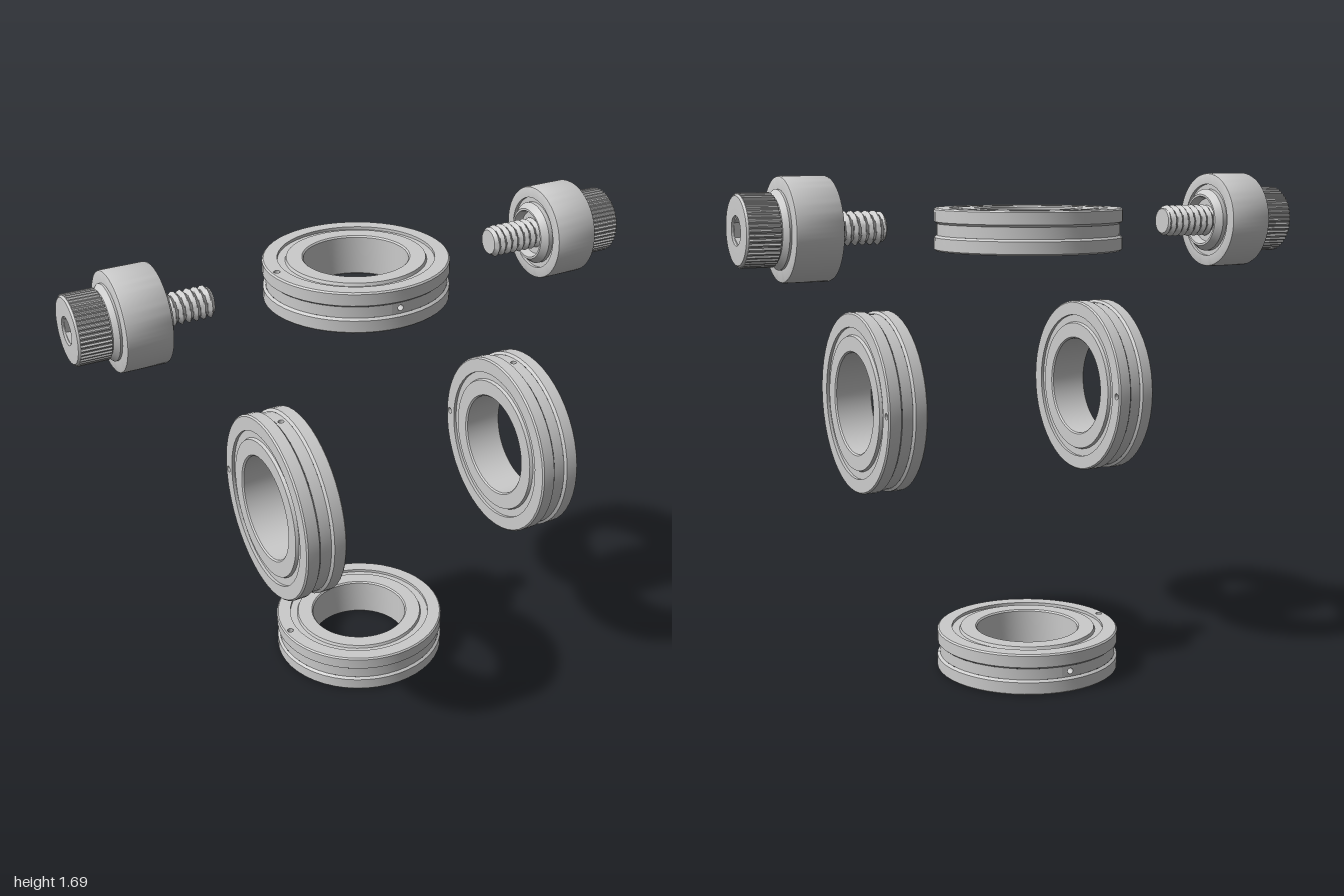
import * as THREE from 'three';
import { toCreasedNormals } from 'three/addons/utils/BufferGeometryUtils.js';

const grey = new THREE.MeshStandardMaterial({ color: 0xcccccc });
const inside = new THREE.MeshStandardMaterial({ color: 0xcccccc, side: THREE.BackSide });

function add(group, name, geometry, material = grey) {
  const mesh = new THREE.Mesh(geometry, material);
  mesh.name = name;
  group.add(mesh);
  return mesh;
}

// Revolved profile of [radius, y] points around the y axis, hard edges kept sharp
function lathe(points, segments = 48, start = 0, length = Math.PI * 2) {
  const profile = points.map(([r, y]) => new THREE.Vector2(r, y));
  return toCreasedNormals(new THREE.LatheGeometry(profile, segments, start, length), 0.45);
}

// Half profile followed by its reflection in y = 0
const mirrored = (half) => [...half, ...half.map(([r, y]) => [r, -y]).reverse()];

function circlePath(x, y, r) {
  return new THREE.Path().absarc(x, y, r, 0, Math.PI * 2, true);
}

// Ring bearing, axis along y, oil hole towards +z, axial pin hole at -x
function bearing(name) {
  const g = new THREE.Group();
  g.name = name;
  const H = 0.07, floorR = 0.304, floorH = 0.019, hole = 0.01, gap = 0.1;

  // Outer rim, either side of the oil groove
  const rim = [[0.308, -H], [0.313, -0.065], [0.313, -0.026], [floorR, -floorH]];
  add(g, 'lowerRim', lathe(rim));
  add(g, 'upperRim', lathe(rim.map(([r, y]) => [r, -y]).reverse()));

  // Groove floor with a pierced patch bent round the cylinder
  add(g, 'grooveFloor', lathe([[floorR, -floorH], [floorR, floorH]], 48, gap, Math.PI * 2 - 2 * gap));
  const patch = new THREE.Shape();
  const w = gap * floorR;
  patch.moveTo(-w, -floorH).lineTo(0, -floorH).lineTo(w, -floorH);
  patch.lineTo(w, floorH).lineTo(0, floorH).lineTo(-w, floorH);
  patch.holes.push(circlePath(0, 0, hole));
  const bent = new THREE.ShapeGeometry(patch, 8);
  const p = bent.attributes.position;
  for (let i = 0; i < p.count; i++) {
    const a = p.getX(i) / floorR;
    p.setXYZ(i, floorR * Math.sin(a), p.getY(i), floorR * Math.cos(a));
  }
  bent.computeVertexNormals();
  add(g, 'oilHolePatch', bent);
  const oil = add(g, 'oilHole', new THREE.CylinderGeometry(hole, hole, 0.04, 16), inside);
  oil.rotation.x = Math.PI / 2;
  oil.position.z = floorR - 0.02;

  // Flat outer ring faces with the axial pin hole
  const face = new THREE.Shape().absarc(0, 0, 0.308, 0, Math.PI * 2, false);
  face.holes.push(circlePath(0, 0, 0.262), circlePath(-0.29, 0, 0.011));
  for (const s of [1, -1]) {
    const f = add(g, 'outerRingFace', new THREE.ShapeGeometry(face, 24));
    f.rotation.x = -s * Math.PI / 2;
    f.position.y = s * H;
  }
  const pin = add(g, 'pinHole', new THREE.CylinderGeometry(0.011, 0.011, 2 * H, 16, 1, true), inside);
  pin.position.x = -0.29;

  // Recessed seals, inner ring and bore
  add(g, 'sealsAndInnerRing', lathe(mirrored([
    [0.262, H], [0.262, 0.06], [0.236, 0.06], [0.232, H], [0.18, H], [0.175, 0.065],
  ])));
  return g;
}

// Helical thread along y
function threadGeometry(y0, y1, radius, depth, pitch) {
  const rows = 72, profile = [new THREE.Vector2(0, y0)];
  for (let i = 0; i <= rows; i++) profile.push(new THREE.Vector2(radius, y0 + (y1 - y0) * i / rows));
  const geo = new THREE.LatheGeometry(profile, 32);
  const p = geo.attributes.position;
  for (let i = 0; i < p.count; i++) {
    const x = p.getX(i), z = p.getZ(i), y = p.getY(i);
    if (Math.hypot(x, z) < 0.001) continue;
    const turn = y / pitch - Math.atan2(x, z) / (2 * Math.PI);
    const tri = Math.abs(2 * (turn - Math.floor(turn)) - 1);
    const k = Math.min(radius - depth * tri, radius - depth + (y - y0)) / radius;
    p.setXYZ(i, x * k, y, z * k);
  }
  return toCreasedNormals(geo, 0.6);
}

// Roller on a threaded stud with a knurled socket head, pointing along +y
function follower(name) {
  const g = new THREE.Group();
  g.name = name;
  add(g, 'threadedStud', threadGeometry(0.525, 0.72, 0.055, 0.013, 0.025));
  add(g, 'innerCollar', lathe([
    [0.03, 0.715], [0.075, 0.715], [0.083, 0.685], [0.09, 0.685], [0.108, 0.707], [0.108, 0.722], [0.127, 0.722],
  ]));
  add(g, 'roller', lathe([
    [0.125, 0.722], [0.125, 0.711], [0.156, 0.711], [0.161, 0.713], [0.163, 0.718],
    [0.163, 0.858], [0.161, 0.863], [0.156, 0.865], [0.11, 0.865],
  ], 64));
  add(g, 'neck', lathe([[0.123, 0.865], [0.123, 0.872], [0.106, 0.888], [0.106, 0.896]]));

  // Knurled head with hexagonal socket
  const ribs = 48, outline = [];
  for (let i = 0; i < ribs * 4; i++) {
    const r = i % 4 < 2 ? 0.114 : 0.109, a = i / (ribs * 4) * Math.PI * 2;
    outline.push(new THREE.Vector2(r * Math.cos(a), r * Math.sin(a)));
  }
  const shape = new THREE.Shape(outline);
  const hex = [];
  for (let i = 0; i < 6; i++) {
    const a = -i * Math.PI / 3;
    hex.push(new THREE.Vector2(0.045 * Math.cos(a), 0.045 * Math.sin(a)));
  }
  shape.holes.push(new THREE.Path(hex));
  const head = new THREE.ExtrudeGeometry(shape, { depth: 0.1, bevelEnabled: false });
  head.rotateX(-Math.PI / 2).translate(0, 0.893, 0);
  add(g, 'knurledHead', head);
  add(g, 'headEnd', lathe([[0.11, 0.993], [0.105, 0.9995], [0.098, 1], [0.046, 1], [0.045, 0.993]]));
  const floor = add(g, 'socketFloor', new THREE.CircleGeometry(0.05, 24));
  floor.rotation.x = -Math.PI / 2;
  floor.position.y = 0.94;
  return g;
}

export function createModel() {
  const model = new THREE.Group();

  const top = bearing('topBearing');
  top.position.set(0, 1.512, -0.158);
  const bottom = bearing('bottomBearing');
  bottom.position.set(0, 0.07, -0.158);
  bottom.rotation.x = Math.PI;
  model.add(top, bottom);

  // Upright bearings: axis along x, oil hole up, pin hole to the back
  const upright = new THREE.Matrix4().makeBasis(
    new THREE.Vector3(0, 0, 1), new THREE.Vector3(1, 0, 0), new THREE.Vector3(0, 1, 0));
  for (const s of [1, -1]) {
    const side = s > 0 ? 'left' : 'right';
    const ring = bearing(side + 'Bearing');
    ring.quaternion.setFromRotationMatrix(upright);
    ring.position.set(s * 0.438, 0.915, 0.157);
    const roll = follower(side + 'Follower');
    roll.rotation.z = -s * Math.PI / 2;
    roll.position.set(0, 1.528, -0.163);
    model.add(ring, roll);
  }
  return model;
}
